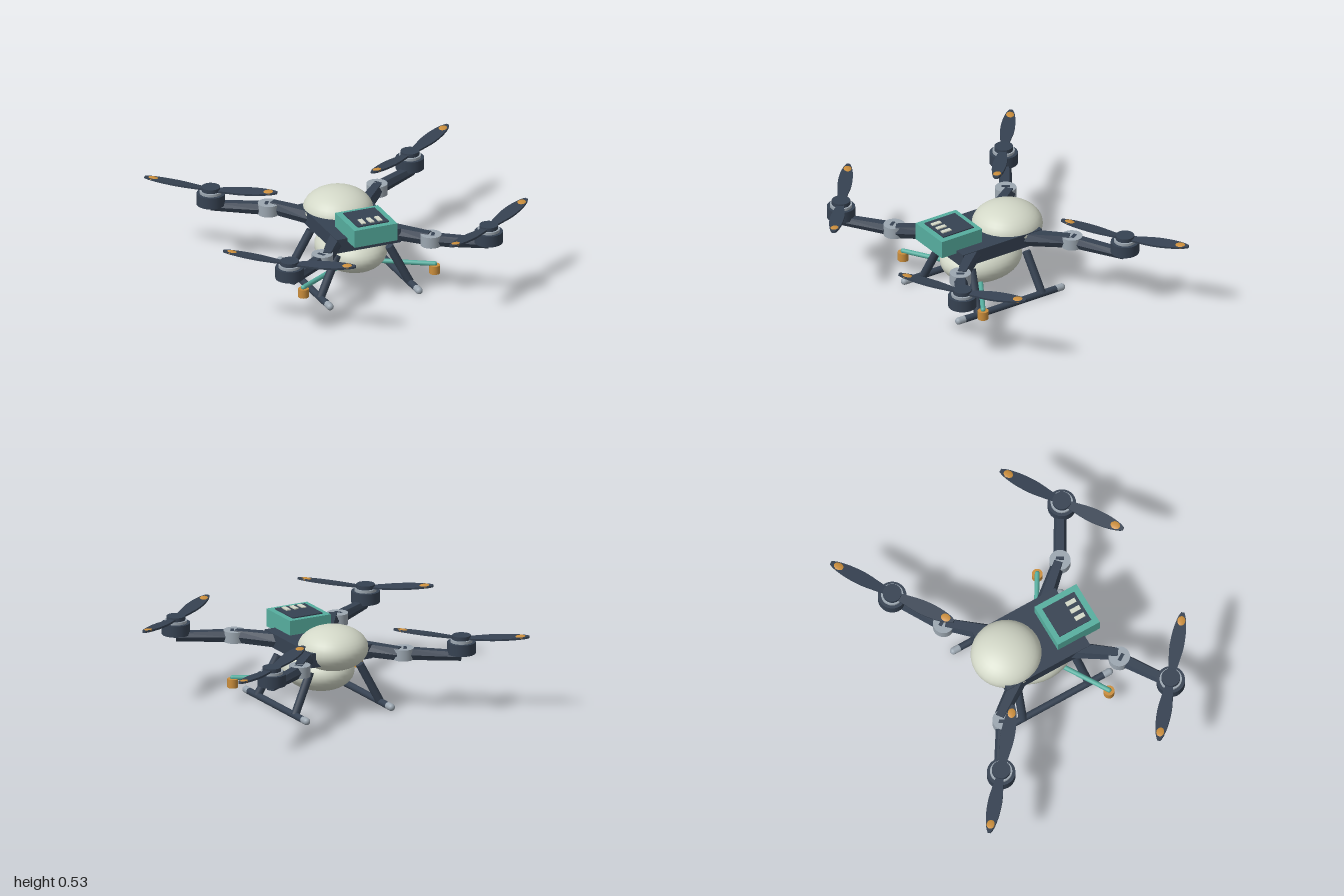
import * as THREE from 'three';

export function createModel() {
  const root = new THREE.Group();
  root.name = 'sprayDrone';
  const mat = (name, color) => {
    const m = new THREE.MeshStandardMaterial({ color });
    m.name = name;
    return m;
  };
  const dark = mat('slate', 0x364252);
  const teal = mat('teal', 0x56ae9f);
  const cream = mat('cream', 0xd3d8c8);
  const silver = mat('silver', 0x9ca7b1);
  const orange = mat('orange', 0xcb8e3c);
  const V = (x, y, z) => new THREE.Vector3(x, y, z);
  const frame = new THREE.Group();
  frame.name = 'airframe';
  frame.position.x = -0.02;
  root.add(frame);

  const add = (name, geo, material, pos = [0, 0, 0], parent = frame) => {
    const m = new THREE.Mesh(geo, material);
    m.name = name;
    m.position.set(...pos);
    parent.add(m);
    return m;
  };
  const box = (name, size, material, pos) => add(name, new THREE.BoxGeometry(...size), material, pos);
  const disc = (name, r, h, material, pos, parent) =>
    add(name, new THREE.CylinderGeometry(r, r, h, 28), material, pos, parent);
  const ellipsoid = (name, radii, material, pos, parent) =>
    add(name, new THREE.SphereGeometry(1, 32, 20).scale(...radii), material, pos, parent);
  const rod = (name, a, b, r, material) => {
    const d = b.clone().sub(a);
    const m = add(name, new THREE.CylinderGeometry(r, r, d.length(), 16), material,
      a.clone().add(b).multiplyScalar(0.5).toArray());
    m.quaternion.setFromUnitVectors(V(0, 1, 0), d.normalize());
    return m;
  };

  // Tapered beam with a six-sided section, its length running from a to b
  const beam = (name, a, b, wA, hA, wB, hB) => {
    const d = b.clone().sub(a);
    const section = [[1, 0], [0.6, 1], [-0.6, 1], [-1, 0], [-0.6, -1], [0.6, -1]];
    const ring = (z, w, h) => section.map(([x, y]) => [x * w, y * h, z]);
    const A = ring(0, wA, hA), B = ring(d.length(), wB, hB), p = [];
    const tri = (...pts) => pts.forEach((q) => p.push(...q));
    for (let i = 0; i < 6; i++) {
      const j = (i + 1) % 6;
      tri(A[i], A[j], B[j], A[i], B[j], B[i]);
      if (i > 0 && i < 5) {
        tri(A[0], A[j], A[i]);
        tri(B[0], B[i], B[j]);
      }
    }
    // Reverse the sides so every face points outwards
    const geo = new THREE.BufferGeometry();
    geo.setAttribute('position', new THREE.Float32BufferAttribute(p, 3));
    geo.computeVertexNormals();
    const m = add(name, geo, dark, a.toArray());
    m.lookAt(b);
    return m;
  };

  // Body, tanks and control box
  box('body', [0.426, 0.09, 0.58], dark, [0, 0.37, 0]);
  ellipsoid('upperTank', [0.215, 0.136, 0.218], cream, [0, 0.395, -0.177]);
  ellipsoid('lowerTank', [0.213, 0.136, 0.265], cream, [0, 0.222, 0.015]);
  box('controlBox', [0.284, 0.112, 0.294], teal, [0, 0.451, 0.25]);
  box('controlPanel', [0.208, 0.008, 0.222], dark, [0, 0.51, 0.248]);
  for (const x of [-0.054, 0, 0.054]) {
    box('indicatorBar', [0.028, 0.008, 0.065], cream, [x, 0.517, 0.307]);
  }

  // Propeller blade outline along +x
  const half = [[0.03, 0.02], [0.1, 0.031], [0.2, 0.043], [0.3, 0.04], [0.38, 0.026], [0.42, 0.01]];
  const outline = new THREE.Shape();
  outline.moveTo(0.03, -0.02);
  outline.splineThru(half.slice(1).map(([x, w]) => new THREE.Vector2(x, -w)));
  outline.lineTo(0.42, 0.01);
  outline.splineThru(half.slice(0, -1).reverse().map(([x, w]) => new THREE.Vector2(x, w)));
  const bladeGeo = new THREE.ExtrudeGeometry(outline, { depth: 0.012, bevelEnabled: false, curveSegments: 16 })
    .translate(0, 0, -0.006).rotateX(-Math.PI / 2);

  for (const sx of [-1, 1]) {
    for (const sz of [-1, 1]) {
      // Folding arm
      const hinge = V(sx * 0.36, 0.367, sz * 0.408);
      beam('innerArm', V(sx * 0.165, 0.37, sz * 0.18), V(sx * 0.345, 0.37, sz * 0.405), 0.054, 0.042, 0.04, 0.038);
      disc('armHinge', 0.065, 0.07, silver, hinge.toArray());
      beam('outerArm', hinge, V(sx * 0.66, 0.36, sz * 0.595), 0.042, 0.036, 0.036, 0.027);

      // Motor and propeller
      const rotor = new THREE.Group();
      rotor.name = 'rotor';
      rotor.position.set(sx * 0.66, 0, sz * 0.595);
      rotor.rotation.y = sx < 0 ? -0.7 : 0.577;
      frame.add(rotor);
      disc('motor', 0.087, 0.072, dark, [0, 0.409, 0], rotor);
      disc('motorRing', 0.068, 0.018, silver, [0, 0.453, 0], rotor);
      disc('propellerHub', 0.057, 0.026, dark, [0, 0.474, 0], rotor);
      for (const turn of [0, Math.PI]) {
        const blade = new THREE.Group();
        blade.name = 'propellerBlade';
        blade.position.y = 0.466;
        blade.rotation.set(0, turn, 0.078);
        rotor.add(blade);
        const pitched = new THREE.Group();
        pitched.name = 'bladePitch';
        pitched.rotation.x = 0.1;
        blade.add(pitched);
        add('blade', bladeGeo, dark, [0, 0, 0], pitched);
        ellipsoid('bladeTip', [0.036, 0.011, 0.029], orange, [0.366, 0, 0], pitched);
      }

      // Landing leg and skid end
      rod('landingLeg', V(sx * 0.173, 0.27, sz * 0.2), V(sx * 0.295, 0.025, sz * 0.232), 0.026, dark);
      const end = add('skidEnd', new THREE.CapsuleGeometry(0.0225, 0.035, 8, 16), silver,
        [sx * 0.295, 0.0225, sz * 0.358]);
      end.rotation.x = Math.PI / 2;
    }
    rod('skid', V(sx * 0.295, 0.022, -0.35), V(sx * 0.295, 0.022, 0.35), 0.0215, dark);

    // Spray boom and nozzle
    const boomEnd = V(sx * 0.435, 0.142, 0.292);
    rod('sprayBoom', V(sx * 0.12, 0.142, 0.1), boomEnd, 0.015, teal);
    ellipsoid('boomEnd', [0.015, 0.015, 0.015], teal, boomEnd.toArray());
    disc('sprayNozzle', 0.033, 0.054, orange, [sx * 0.435, 0.108, 0.292]);
  }
  return root;
}
